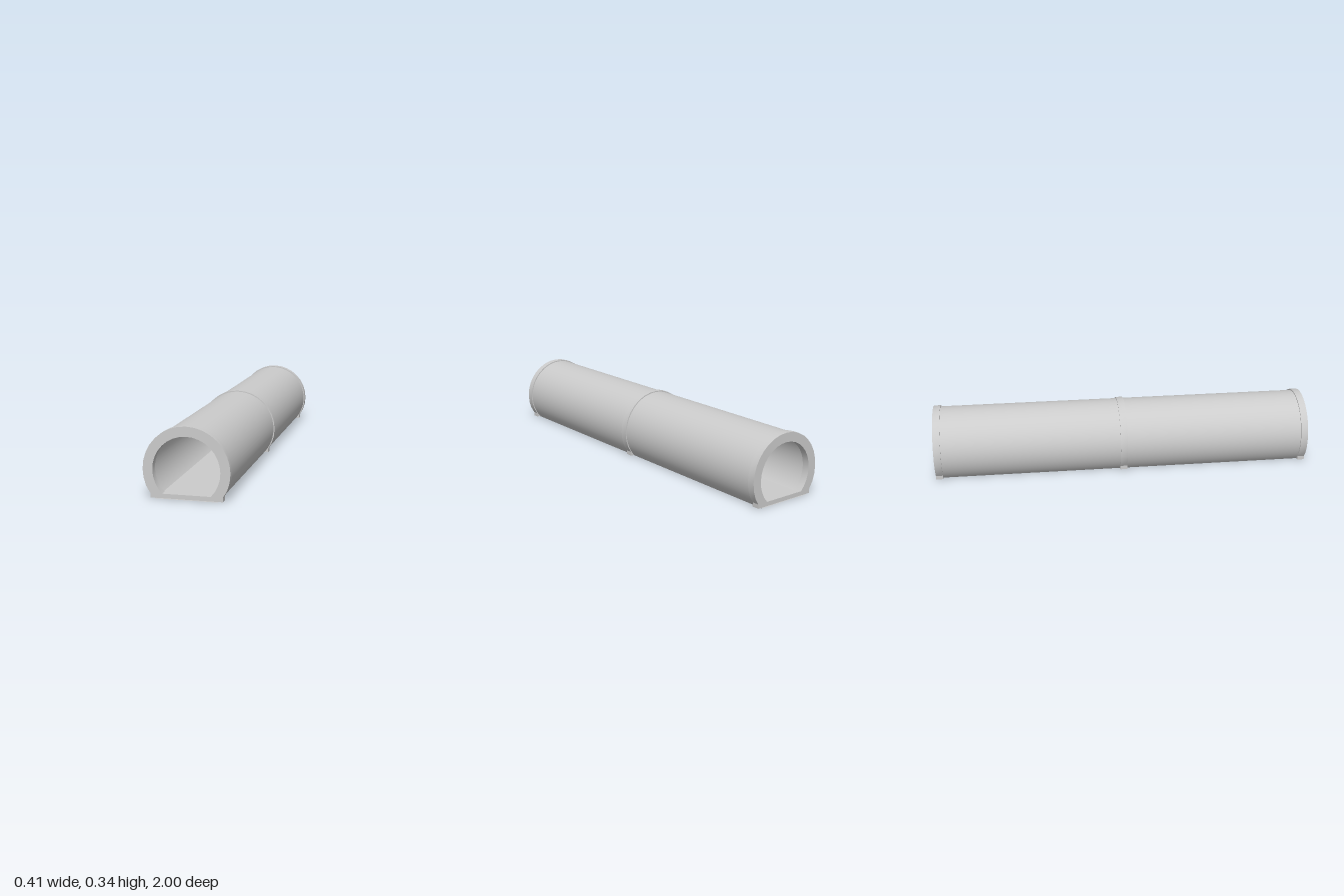
import * as THREE from 'three';
import { toCreasedNormals } from 'three/addons/utils/BufferGeometryUtils.js';

const CENTRE = 0.134;   // height of the tube axis
const FLOOR = 0.024;    // walking level inside the collars
const BASE = 0.003;     // underside of the collars
const COLLAR = 0.037;   // collar depth along z
const STEP = Math.PI / 16;

// Arc points from the right floor corner over the top to the left one
function archPoints(radius) {
  const drop = CENTRE - FLOOR;
  const start = -Math.asin(drop / radius);
  const points = [];
  const add = (a) => points.push(new THREE.Vector2(radius * Math.cos(a), CENTRE + radius * Math.sin(a)));
  add(start);
  for (let i = Math.ceil(start / STEP); i * STEP < Math.PI - start; i++) add(i * STEP);
  add(Math.PI - start);
  return points;
}

function collarGeometry() {
  const outer = archPoints(0.204);
  const foot = 0.169;
  outer[0].x = foot;
  outer[outer.length - 1].x = -foot;
  outer.push(new THREE.Vector2(-foot, BASE), new THREE.Vector2(foot, BASE));
  const shape = new THREE.Shape(outer);
  shape.holes.push(new THREE.Path(archPoints(0.158)));
  const geometry = new THREE.ExtrudeGeometry(shape, { depth: COLLAR, bevelEnabled: false });
  geometry.translate(0, 0, -COLLAR / 2);
  return toCreasedNormals(geometry, 0.5);
}

export function createModel() {
  const group = new THREE.Group();
  const solid = new THREE.MeshStandardMaterial({ color: 0xcccccc });
  const sheet = new THREE.MeshStandardMaterial({ color: 0xcccccc, side: THREE.DoubleSide });

  // Collars at both ends and over the middle joint
  const collar = collarGeometry();
  [['backCollar', -1 + COLLAR / 2], ['middleCollar', 0], ['frontCollar', 1 - COLLAR / 2]].forEach(([name, z]) => {
    const mesh = new THREE.Mesh(collar, solid);
    mesh.name = name;
    mesh.position.z = z;
    group.add(mesh);
  });

  // Two thin tube sections, each a vaulted wall and a flat floor
  const radius = 0.198;
  const cut = Math.acos(CENTRE / radius);
  const wall = new THREE.CylinderGeometry(radius, radius, 1, 48, 1, true, cut, 2 * (Math.PI - cut));
  wall.rotateX(Math.PI / 2).translate(0, CENTRE, 0);
  const floor = new THREE.PlaneGeometry(2 * radius * Math.sin(cut), 1).rotateX(Math.PI / 2);

  [['back', -0.5], ['front', 0.5]].forEach(([side, z]) => {
    const section = new THREE.Group();
    section.name = side + 'Section';
    section.position.z = z;
    const wallMesh = new THREE.Mesh(wall, sheet);
    wallMesh.name = side + 'Wall';
    const floorMesh = new THREE.Mesh(floor, sheet);
    floorMesh.name = side + 'Floor';
    section.add(wallMesh, floorMesh);
    group.add(section);
  });

  return group;
}
